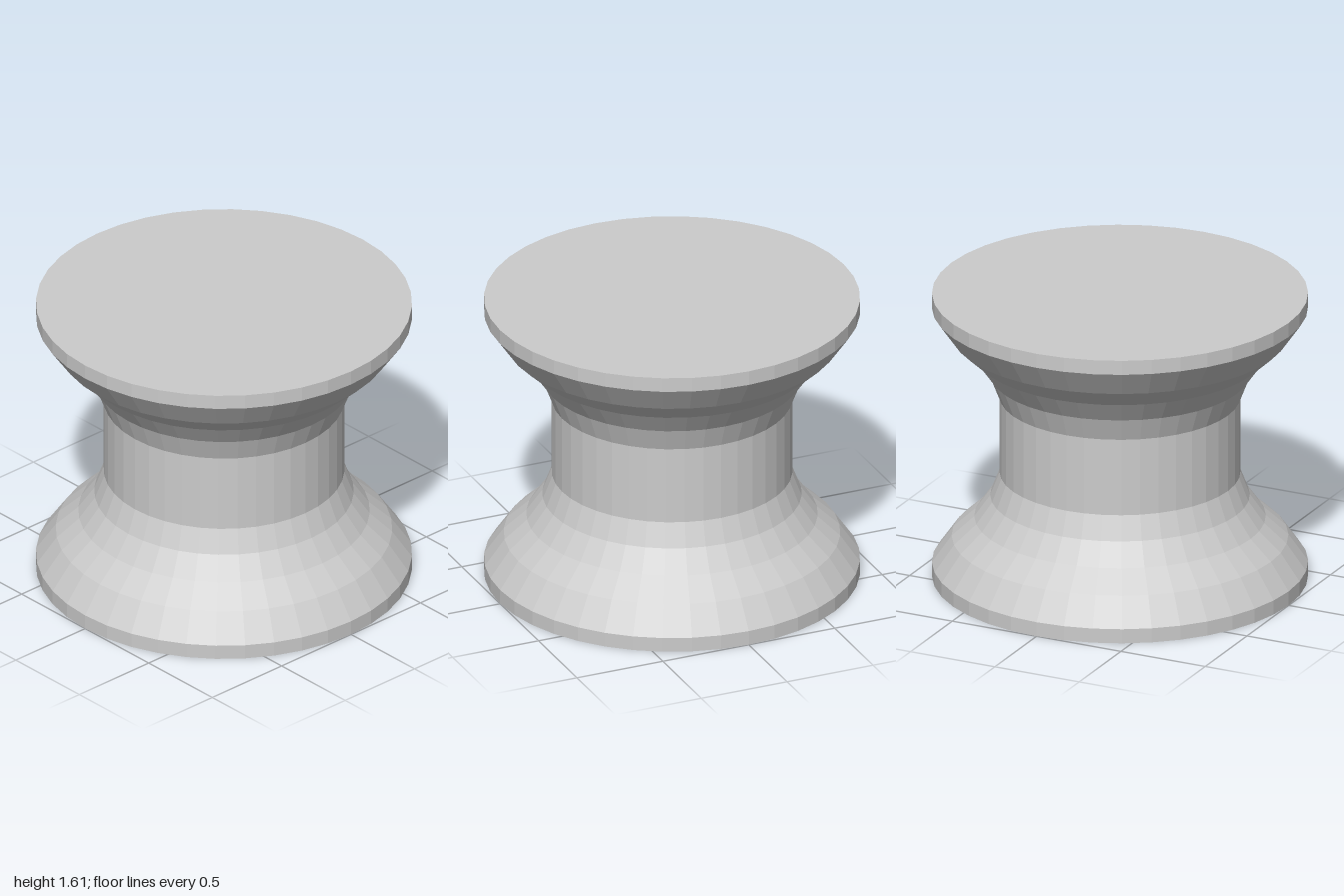
import * as THREE from 'three';

const HEIGHT = 1.61;
const SIDES = 40;

export function createModel() {
  const group = new THREE.Group();
  group.name = 'spool';

  // Lower half of the outline: base, rim, flare, waist
  const lower = [
    [0, 0], [1, 0], [1, 0.08], [0.895, 0.23],
    [0.775, 0.34], [0.69, 0.46], [0.64, 0.59],
  ].map(([r, y]) => new THREE.Vector2(r, y));

  // Upper half mirrors the lower one
  const upper = lower.map((p) => new THREE.Vector2(p.x, HEIGHT - p.y)).reverse();

  const body = new THREE.Mesh(
    new THREE.LatheGeometry([...lower, ...upper], SIDES),
    new THREE.MeshStandardMaterial({ color: 0xcccccc, flatShading: true }),
  );
  body.name = 'spoolBody';
  group.add(body);
  return group;
}
